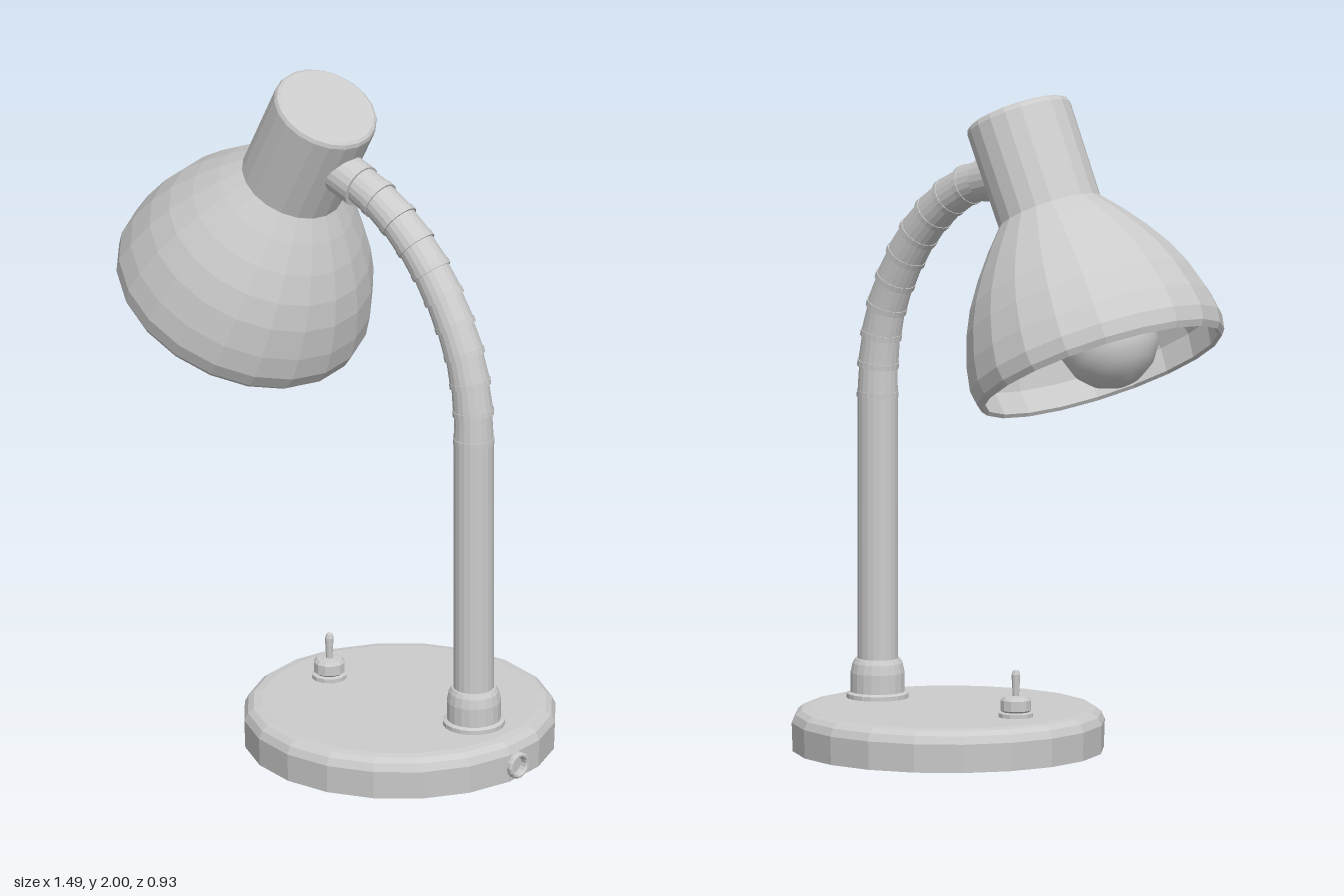
import * as THREE from 'three';

const material = new THREE.MeshStandardMaterial({ color: 0xcccccc, flatShading: true });
const smooth = new THREE.MeshStandardMaterial({ color: 0xcccccc });

function add(parent, name, geometry, x = 0, y = 0, z = 0, mat = material) {
  const mesh = new THREE.Mesh(geometry, mat);
  mesh.name = name;
  mesh.position.set(x, y, z);
  parent.add(mesh);
  return mesh;
}

// Profile of [radius, height] pairs, running bottom to top on the outside
function lathe(profile, sides = 20) {
  return new THREE.LatheGeometry(profile.map(([r, y]) => new THREE.Vector2(r, y)), sides);
}

// Cylinder running from point a to point b
function between(parent, name, a, b, ra, rb) {
  const dir = b.clone().sub(a);
  const mid = a.clone().add(b).multiplyScalar(0.5);
  const mesh = add(parent, name, new THREE.CylinderGeometry(rb, ra, dir.length(), 20), mid.x, mid.y, mid.z);
  mesh.quaternion.setFromUnitVectors(new THREE.Vector3(0, 1, 0), dir.normalize());
  return mesh;
}

function createBase() {
  const base = new THREE.Group();
  base.name = 'base';
  add(base, 'basePlate', lathe([
    [0, 0], [0.46, 0], [0.463, 0.085], [0.452, 0.108], [0.435, 0.121], [0.41, 0.125], [0, 0.125],
  ]), 0.267, 0, 0);

  // Toggle switch
  add(base, 'switchMount', lathe([
    [0.052, 0.12], [0.052, 0.137], [0.04, 0.14], [0.046, 0.145], [0.046, 0.175],
    [0.038, 0.185], [0.016, 0.187], [0, 0.187],
  ], 12), 0, 0, 0.03);
  add(base, 'switchLever', lathe([
    [0.009, 0.18], [0.013, 0.25], [0.009, 0.262], [0, 0.265],
  ], 10), 0, 0, 0.03);

  // Hollow cord bushing at the rim
  const bushing = add(base, 'cordBushing', lathe([
    [0, 0.02], [0.026, 0.02], [0.026, 0.05], [0.03, 0.055], [0.036, 0.055], [0.04, 0.05], [0.04, 0],
  ].reverse(), 14), 0.69, 0.047, -0.03);
  bushing.rotation.z = -Math.PI / 2;
  return base;
}

function createStem() {
  const stem = new THREE.Group();
  stem.name = 'stem';
  add(stem, 'stemCollar', lathe([
    [0.092, 0.12], [0.092, 0.138], [0.08, 0.143], [0.08, 0.2], [0.074, 0.228], [0.066, 0.242], [0.05, 0.243],
  ]), 0.548, 0, -0.03);
  add(stem, 'post', new THREE.CylinderGeometry(0.06, 0.06, 0.92, 20), 0.547, 0.58, -0.03);

  // Flexible neck made of slightly flared links with a ring at each joint
  const path = new THREE.CatmullRomCurve3([
    [0.547, 1.03, -0.03], [0.545, 1.12, -0.03], [0.508, 1.3, -0.027], [0.38, 1.524, -0.018],
    [0.22, 1.667, -0.008], [0.07, 1.73, 0], [0, 1.745, 0.003],
  ].map((p) => new THREE.Vector3(...p)));
  const links = 11;
  const points = path.getSpacedPoints(links);
  for (let i = 0; i < links; i++) {
    between(stem, 'neckLink', points[i], points[i + 1], 0.06, 0.056);
    const tangent = path.getTangentAt(i / links).multiplyScalar(0.009);
    between(stem, 'neckRing', points[i].clone().sub(tangent), points[i].clone().add(tangent), 0.062, 0.062);
  }
  between(stem, 'neckFerrule', points[links], new THREE.Vector3(0.105, 1.715, 0), 0.066, 0.066);
  return stem;
}

function createHead() {
  // Local y runs along the lamp axis, with the cap top at the origin
  const head = new THREE.Group();
  head.name = 'head';
  head.position.set(-0.035, 1.93, 0.004);
  head.rotation.z = -0.481;

  add(head, 'cap', lathe([
    [0.15, -0.34], [0.158, -0.316], [0.16, -0.018], [0.155, -0.006], [0.146, 0], [0, 0],
  ]));

  // Hollow shade: down the inside, round the rim, up the outside
  add(head, 'shade', lathe([
    [0, -0.345], [0.135, -0.345], [0.18, -0.375], [0.25, -0.462], [0.328, -0.6], [0.37, -0.74], [0.36, -0.812],
    [0.37, -0.82], [0.383, -0.803], [0.39, -0.76], [0.378, -0.69], [0.35, -0.6], [0.315, -0.525],
    [0.267, -0.45], [0.21, -0.375], [0.155, -0.312],
  ]));

  // Bulb, sitting a little off the axis
  const bulb = add(head, 'bulb', lathe([
    [0, -0.15], [0.05, -0.142], [0.1, -0.112], [0.135, -0.066], [0.15, 0], [0.138, 0.06],
    [0.105, 0.115], [0.075, 0.18], [0.06, 0.25],
  ], 24), -0.07, -0.74, 0, smooth);
  bulb.rotation.z = -0.15;
  add(head, 'bulbSocket', new THREE.CylinderGeometry(0.08, 0.08, 0.18, 16), -0.02, -0.42, 0);
  return head;
}

export function createModel() {
  const lamp = new THREE.Group();
  lamp.name = 'deskLamp';
  lamp.add(createBase(), createStem(), createHead());
  return lamp;
}
